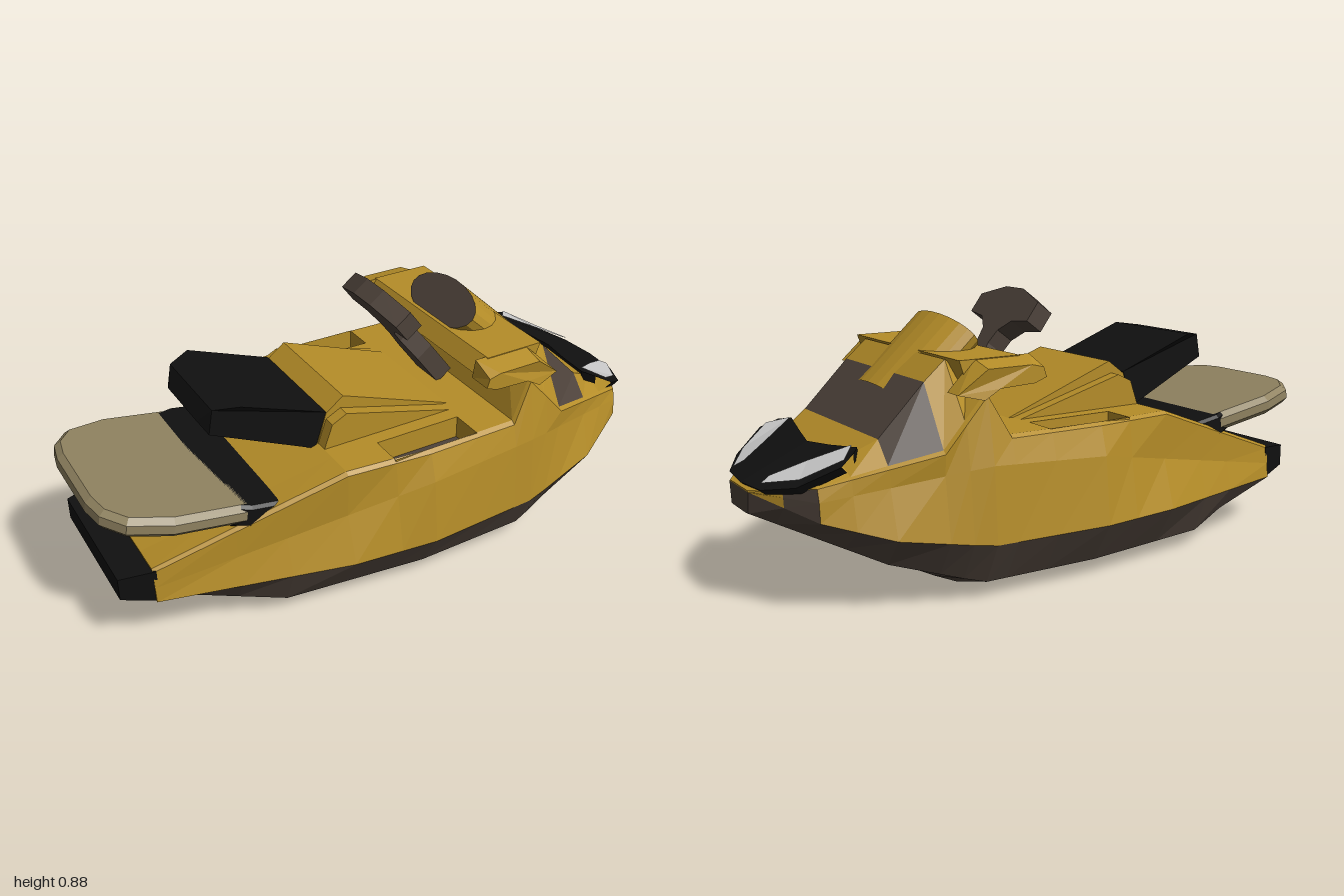
import * as THREE from 'three';

const mat = (color) => new THREE.MeshStandardMaterial({ color, flatShading: true, side: THREE.DoubleSide });
const mirror = ([x, y, z]) => [x, y, -z];

// Point on a rail of [x, y, z] corners at a given x
function railAt(rail, x) {
  let k = 0;
  while (k < rail.length - 2 && x > rail[k + 1][0]) k++;
  const [a, b] = [rail[k], rail[k + 1]];
  const t = (x - a[0]) / (b[0] - a[0]);
  return [x, a[1] + (b[1] - a[1]) * t, a[2] + (b[2] - a[2]) * t];
}

// Long edges of the hull, from stern to bow
const keel = [[-.87, .165, .15], [-.47, 0, .2], [.4, 0, .19], [1, .288, .05]];
const chine = [[-.87, .168, .22], [-.47, .055, .33], [0, .055, .385], [.4, .055, .375], [.68, .145, .31], [1, .29, .07]];
const gunwale = [[-.87, .17, .27], [-.28, .185, .435], [0, .185, .465], [.4, .185, .44], [.68, .232, .38], [.87, .292, .285], [1, .355, .08]];
const midSide = [[-.87, .22, .265], [0, .4, .442], [.4, .42, .425], [.87, .35, .28], [1, .356, .078]];
const shoulder = [[-.87, .275, .26], [-.28, .49, .39], [0, .49, .415], [.32, .49, .41], [.39, .62, .39], [.53, .465, .39], [.87, .388, .27], [1, .357, .076]];
const innerDeck = [[-.87, .28, .15], [-.28, .5, .29], [.32, .5, .29], [.39, .67, .26], [.46, .715, .265], [.53, .655, .265], [.68, .505, .265], [.87, .4, .18], [1, .358, .05]];

// Half cross-section from keel centre to deck centre
function section(x) {
  const k = railAt(keel, x), s = railAt(shoulder, x), d = railAt(innerDeck, x);
  return [
    [x, k[1], 0], k, railAt(chine, x), railAt(gunwale, x), railAt(midSide, x),
    s, [x, s[1] + .01 * Math.min(1, (1.1 - x) * 2), s[2] * .965], d, [x, d[1], 0],
  ];
}

export function createModel() {
  const group = new THREE.Group();
  const gold = mat(0xb58d28), brown = mat(0x4d423a), black = mat(0x101010), tan = mat(0x8f8260), silver = mat(0xc4c4c4);

  const add = (name, geometry, material) => {
    const mesh = new THREE.Mesh(geometry, material);
    mesh.name = name;
    group.add(mesh);
    return mesh;
  };
  const toShape = (pts) => new THREE.Shape(pts.map(([a, b]) => new THREE.Vector2(a, b)));
  const mirrored = (half, axis) => [...half, ...half.map(([a, b]) => (axis === 'a' ? [-a, b] : [a, -b])).reverse()];
  // Side profile (x, y) extruded from z0 to z1
  const sideExtrude = (pts, z0, z1) =>
    new THREE.ExtrudeGeometry(toShape(pts), { depth: z1 - z0, bevelEnabled: false }).translate(0, 0, z0);
  // Half plan outline (x, z) mirrored over z, extruded downwards with a bevel
  const planExtrude = (half, thickness, bevel) =>
    new THREE.ExtrudeGeometry(toShape(mirrored(half, 'b')), {
      depth: thickness - 2 * bevel, bevelThickness: bevel, bevelSize: bevel, bevelOffset: -bevel, bevelSegments: 1,
    }).rotateX(Math.PI / 2).translate(0, -bevel, 0);
  // Moves vertices by a rule on (x, y, z)
  const reshape = (g, rule) => {
    const p = g.attributes.position;
    for (let k = 0; k < p.count; k++) p.setXYZ(k, ...rule(p.getX(k), p.getY(k), p.getZ(k)));
    g.computeVertexNormals();
    return g;
  };
  const fromQuads = (quads) => {
    const pos = quads.flatMap(([a, b, c, d]) => [...a, ...b, ...c, ...a, ...c, ...d]);
    const g = new THREE.BufferGeometry();
    g.setAttribute('position', new THREE.Float32BufferAttribute(pos, 3));
    g.computeVertexNormals();
    return g;
  };
  const bothSides = (quads) => fromQuads([...quads, ...quads.map((q) => q.map(mirror).reverse())]);

  // Hull skin
  const stations = [-.87, -.62, -.47, -.28, -.12, 0, .18, .32, .39, .46, .53, .68, .78, .87, .935, 1].map(section);
  const lower = [], upper = [], trim = [];
  for (let j = 0; j < stations.length - 1; j++) {
    const [s, t] = [stations[j], stations[j + 1]];
    const x = s[0][0];
    for (let i = 0; i < 8; i++) {
      if (i === 6 && (x === -.12 || x === 0)) continue; // footwell opening
      const panel = (x === .53 && i >= 6) || (x === .87 && (i === 3 || i === 4));
      (i < 3 ? lower : panel ? trim : upper).push([s[i], t[i], t[i + 1], s[i + 1]]);
    }
  }
  const first = stations[0].map(([, y, z]) => [-.87, y, z]), last = stations[stations.length - 1];
  for (let i = 0; i < 8; i++) {
    const centre = ([x, y]) => [x, y, 0];
    const list = i < 3 ? lower : upper;
    list.push([last[i], centre(last[i]), centre(last[i + 1]), last[i + 1]]);
    list.push([first[i + 1], centre(first[i + 1]), centre(first[i]), first[i]]);
  }
  add('lowerHull', bothSides(lower), brown);
  add('upperHull', bothSides(upper), gold);
  add('hoodPanelAndBowStripes', bothSides(trim), brown);

  // Footwells
  const ring = [[-.12, .29], [.18, .29], [.18, .4], [-.12, .4]];
  const walls = ring.map(([x, z], k) => {
    const [x2, z2] = ring[(k + 1) % 4];
    return [[x, .5, z], [x2, .5, z2], [x2, .42, z2], [x, .42, z]];
  });
  add('footwellWalls', bothSides(walls), gold);

  // Footwell floors and overhanging side pods, which slope up to the cowl
  const pod = reshape(
    sideExtrude([[.2, .66], [.21, .69], [.25, .7], [.4, .7], [.49, .63], [.41, .61], [.36, .64], [.24, .645]], .33, .41),
    (x, y, z) => (z < .37 ? [x, y > .68 ? .72 : y, z] : [x, y, z - Math.max(0, x - .4) * .2]));
  for (const s of [1, -1]) {
    const side = s > 0 ? 'left' : 'right';
    add(side + 'FootwellFloor', new THREE.BoxGeometry(.3, .01, .11).translate(.03, .42, .345 * s), brown);
    add(side + 'SidePod', pod, gold).scale.z = s;
  }

  // Cowl overhang and round instrument housing
  add('cowlOverhang', sideExtrude([[.21, .67], [.25, .72], [.455, .72], [.42, .62], [.37, .64], [.28, .66]], -.34, .34), gold);
  const housing = new THREE.CylinderGeometry(1, 1, .3, 20, 1, true).translate(0, -.15, 0);
  const dial = new THREE.CircleGeometry(1, 20).rotateX(-Math.PI / 2);
  for (const [name, g, m] of [['instrumentHousing', housing, gold], ['instrumentDial', dial, brown]]) {
    add(name, g.scale(.08, 1, .175).rotateZ(.83).translate(.305, .765, 0), m);
  }

  // Handlebar: a T-shaped plate leaning back
  const barHalf = [[.06, 0], [.06, .14], [.035, .23], [.045, .28], [.09, .32], [.17, .33], [.17, .4], [.05, .44]];
  const bar = new THREE.ExtrudeGeometry(toShape(mirrored(barHalf, 'a')), { depth: .065, bevelEnabled: false });
  bar.applyMatrix4(new THREE.Matrix4().makeBasis(
    new THREE.Vector3(0, 0, 1), new THREE.Vector3(-.6, .8, 0), new THREE.Vector3(-.8, -.6, 0)).setPosition(.31, .53, 0));
  add('handlebar', bar, brown);

  // Seat base with side bolsters
  add('seatBase', sideExtrude([[-.29, .47], [-.25, .6], [-.19, .645], [.2, .5], [.2, .47]], -.2, .2), gold);
  add('seatBolsters', sideExtrude([[-.29, .47], [-.25, .58], [-.2, .605], [.2, .495], [.2, .47]], -.24, .24), gold);

  // Rider seat: narrows towards its raised back end
  const seat = sideExtrude([[-.635, .645], [-.605, .7], [-.53, .71], [-.25, .605], [-.29, .485], [-.62, .62]], -.2, .2);
  add('riderSeat', reshape(seat, (x, y, z) => [x, y, z * (x < -.63 ? .55 : x < -.58 ? .8 : 1)]), black);

  // Rear cushion and its dark mount
  const tilt = (g) => g.translate(1, 0, 0).rotateZ(-.165).translate(-1, .515, 0);
  const rear = [[-1, .13], [-.985, .21], [-.93, .28], [-.8, .32], [-.54, .32]];
  add('rearCushion', tilt(planExtrude(rear, .065, .018)), tan);
  const mount = [[-.62, .3], [-.56, .325], [-.47, .325], [-.44, .29], [-.44, .2]];
  add('rearCushionMount', tilt(planExtrude(mount, .075, .01)), black);

  // Stern block
  const stern = sideExtrude([[-.97, .195], [-.86, .168], [-.86, .28], [-.97, .27]], -.265, .265);
  add('sternBlock', reshape(stern, (x, y, z) => [x, y, z * (x < -.9 ? .88 : 1)]), black);

  // Bow visor with headlights
  const back = [[.785, .463, 0], [.762, .47, .11], [.735, .485, .245], [.765, .478, .285]];
  const front = [[.995, .368, 0], [.982, .37, .13], [.92, .392, .24], [.815, .452, .314]];
  const visor = [];
  for (let k = 0; k < 3; k++) {
    const [f, g, a, b] = [front[k], front[k + 1], back[k], back[k + 1]];
    const tuck = ([x, y, z]) => [x - .02, y - .02, z * .97];
    const drop = ([x, y, z]) => [x, y - .03, z];
    visor.push([a, b, g, f], [f, g, tuck(g), tuck(f)], [b, a, drop(a), drop(b)]);
  }
  add('bowVisor', bothSides(visor), black);
  const lamp = [[.745, .491, .23], [.8, .468, .298], [.905, .411, .228], [.975, .387, .115], [.945, .403, .105], [.85, .446, .16]];
  add('headlights', bothSides([[0, 1, 2, 5], [5, 2, 3, 4]].map((q) => q.map((n) => lamp[n]))), silver);
  return group;
}
